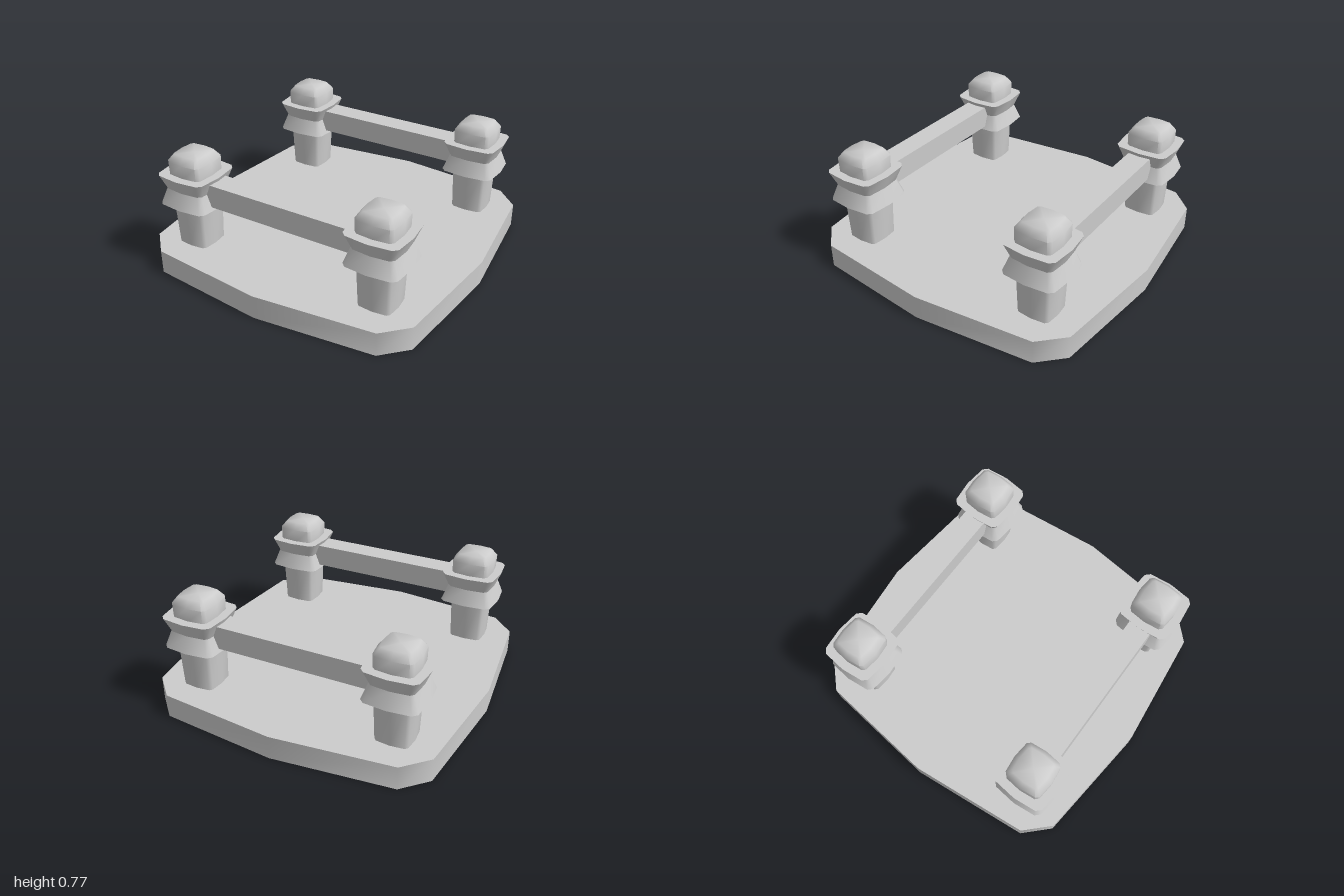
import * as THREE from 'three';
import { toCreasedNormals } from 'three/addons/utils/BufferGeometryUtils.js';

const material = new THREE.MeshStandardMaterial({ color: 0xcccccc });

// Unit cross-section: a slightly bulged square with cut corners, as [x, z]
const outline = [];
for (let q = 0; q < 4; q++) {
  const c = [1, 0, -1, 0][q], s = [0, 1, 0, -1][q];
  for (const [x, z] of [[0, 1], [0.77, 0.92], [0.92, 0.77]]) {
    outline.push([x * c + z * s, z * c - x * s]);
  }
}

// Closed solid through scaled copies of the outline; profile = [halfWidth, y] upwards
function loft(profile, crease) {
  const n = outline.length, pos = [], index = [];
  for (const [r, y] of profile) for (const [x, z] of outline) pos.push(x * r, y, z * r);
  const bottom = profile.length * n, top = bottom + 1, last = bottom - n;
  pos.push(0, profile[0][1], 0, 0, profile[profile.length - 1][1], 0);
  for (let i = 0; i < n; i++) {
    const j = (i + 1) % n;
    for (let k = 0; k < last; k += n) {
      index.push(k + i, k + j, k + n + j, k + i, k + n + j, k + n + i);
    }
    index.push(bottom, j, i, top, last + i, last + j);
  }
  const geometry = new THREE.BufferGeometry();
  geometry.setAttribute('position', new THREE.Float32BufferAttribute(pos, 3));
  geometry.setIndex(index);
  return toCreasedNormals(geometry, crease);
}

function part(parent, name, geometry) {
  const mesh = new THREE.Mesh(geometry, material);
  mesh.name = name;
  parent.add(mesh);
  return mesh;
}

export function createModel() {
  const model = new THREE.Group();
  model.name = 'postedPlatform';

  // Slab
  part(model, 'base', loft([[1, 0], [1, 0.155]], 0.72));

  // Four posts, each with a waisted collar and a bevelled cap
  const shaft = loft([[0.113, 0.15], [0.124, 0.46]], 0.72);
  const collar = loft([[0.186, 0.442], [0.148, 0.545], [0.186, 0.641]], 0.72);
  const cap = loft([[0.13, 0.63], [0.132, 0.725], [0.098, 0.77]], 0.95);
  const offset = 0.655;
  for (const z of [offset, -offset]) {
    for (const x of [offset, -offset]) {
      const post = new THREE.Group();
      post.name = 'post';
      post.position.set(x, 0, z);
      part(post, 'shaft', shaft);
      part(post, 'collar', collar);
      part(post, 'cap', cap);
      model.add(post);
    }
    // Rail running across between two posts
    part(model, 'rail', new THREE.BoxGeometry(1.2, 0.15, 0.15)).position.set(0, 0.54, z);
  }
  return model;
}
